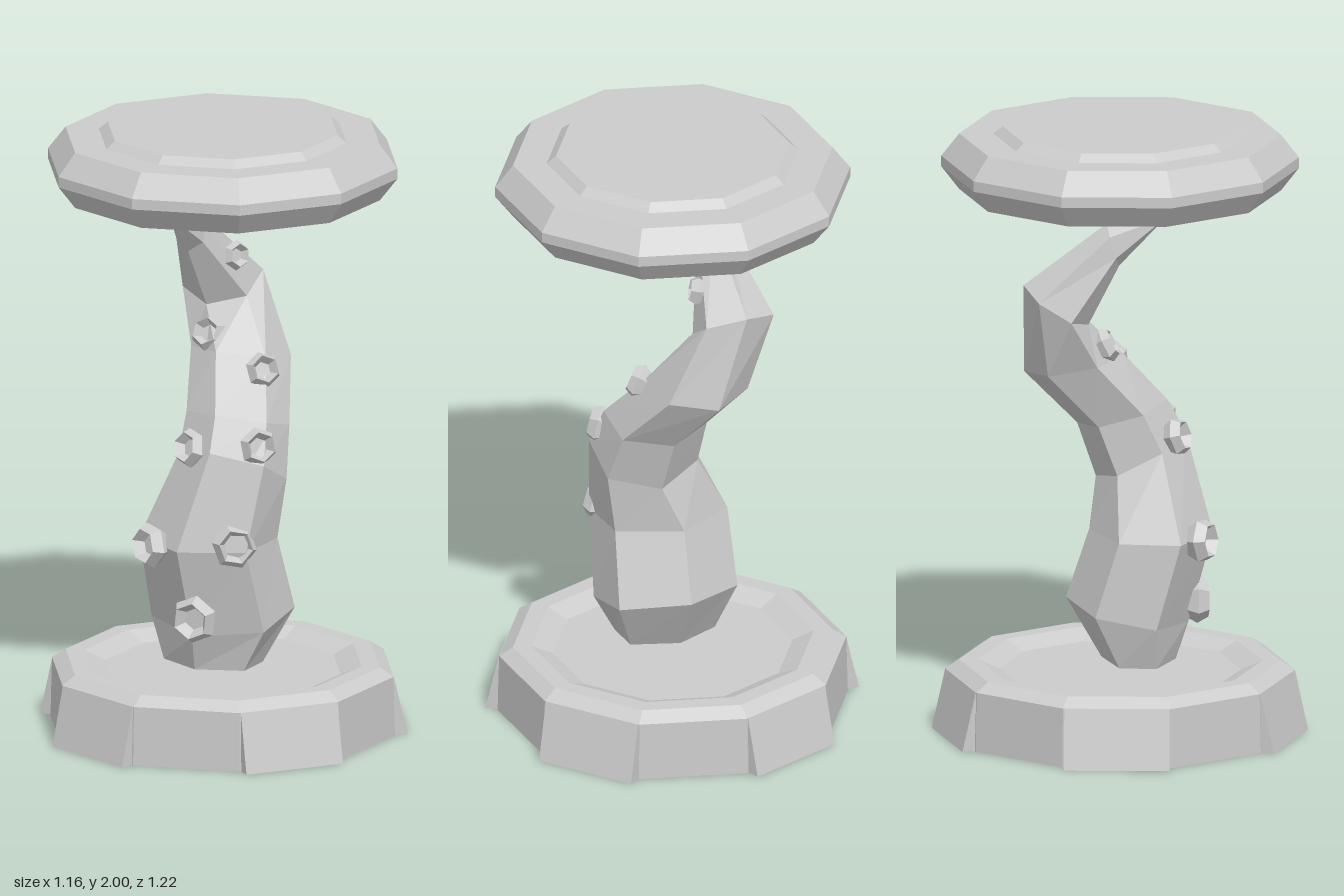
import * as THREE from 'three';

const material = new THREE.MeshStandardMaterial({ color: 0xcccccc, flatShading: true });

function addMesh(parent, name, geometry) {
  const mesh = new THREE.Mesh(geometry, material);
  mesh.name = name;
  parent.add(mesh);
  return mesh;
}

// Faceted turned part; profile runs from the bottom to the top
function turned(profile, sides) {
  return new THREE.LatheGeometry(profile.map(([r, y]) => new THREE.Vector2(r, y)), sides);
}

// Skin of six-sided rings, each given by its front and back point [z, y],
// centre x and half width
function limbGeometry(rings, tip) {
  const sides = 6, positions = [], index = [];
  const mid = ({ f, b, x }) => [x, (f[1] + b[1]) / 2, (f[0] + b[0]) / 2];
  for (const ring of rings) {
    const [cx, cy, cz] = mid(ring);
    for (let i = 0; i < sides; i++) {
      const a = (i / sides) * Math.PI * 2, c = Math.cos(a);
      positions.push(
        cx + (ring.w * Math.sin(a)) / Math.sin(Math.PI / 3),
        cy + (c * (ring.f[1] - ring.b[1])) / 2,
        cz + (c * (ring.f[0] - ring.b[0])) / 2
      );
    }
  }
  const last = (rings.length - 1) * sides, end = rings.length * sides;
  positions.push(...mid(rings[0]), ...tip);
  for (let i = 0; i < sides; i++) {
    const j = (i + 1) % sides;
    for (let r = 0; r < last; r += sides) {
      index.push(r + i, r + j, r + sides + j, r + i, r + sides + j, r + sides + i);
    }
    index.push(end, j, i, last + i, last + j, end + 1);
  }
  const geometry = new THREE.BufferGeometry();
  geometry.setAttribute('position', new THREE.Float32BufferAttribute(positions, 3));
  geometry.setIndex(index);
  geometry.computeVertexNormals();
  return geometry;
}

// Slab lying against one side of the base, its outer face leaning inwards
function plateGeometry() {
  const geometry = new THREE.BoxGeometry(0.34, 0.195, 0.1);
  geometry.translate(0, 0.0975, 0.534);
  const p = geometry.attributes.position;
  for (let i = 0; i < p.count; i++) {
    if (p.getY(i) > 0.1 && p.getZ(i) > 0.54) p.setZ(i, 0.539);
  }
  return geometry;
}

export function createModel() {
  const model = new THREE.Group();
  model.name = 'tentacleStand';

  // Ten-sided base with a shallow dish
  addMesh(model, 'base', turned([
    [0, 0], [0.57, 0], [0.565, 0.195], [0.52, 0.225], [0.46, 0.225], [0.39, 0.195], [0, 0.195]
  ], 10));

  // Plates on every other side
  const plates = new THREE.Group();
  plates.name = 'basePlates';
  model.add(plates);
  for (let i = 0; i < 5; i++) {
    addMesh(plates, 'basePlate', plateGeometry()).rotation.y = -Math.PI / 2 + (i * Math.PI * 2) / 5;
  }

  // Floating top disc with a raised centre
  addMesh(model, 'topDisc', turned([
    [0, 1.79], [0.52, 1.79], [0.578, 1.865], [0.578, 1.9], [0.52, 1.975],
    [0.41, 1.975], [0.38, 2], [0, 2]
  ], 10));

  // Bent, tapering tentacle
  addMesh(model, 'tentacle', limbGeometry([
    { f: [0.18, 0.23], b: [-0.06, 0.235], x: 0.0, w: 0.15 },
    { f: [0.22, 0.35], b: [-0.175, 0.43], x: 0.015, w: 0.21 },
    { f: [0.3, 0.65], b: [-0.1, 0.66], x: 0.005, w: 0.2 },
    { f: [0.21, 0.97], b: [-0.08, 0.82], x: 0.075, w: 0.16 },
    { f: [0.15, 1.08], b: [-0.14, 1.0], x: 0.06, w: 0.15 },
    { f: [0.01, 1.25], b: [-0.31, 1.19], x: -0.02, w: 0.14 },
    { f: [-0.1, 1.37], b: [-0.31, 1.5], x: -0.12, w: 0.12 },
    { f: [0, 1.57], b: [-0.04, 1.71], x: -0.13, w: 0.05 }
  ], [-0.11, 1.725, 0.15]));

  // Suckers: position, outward direction, radius
  const suckers = new THREE.Group();
  suckers.name = 'suckers';
  model.add(suckers);
  const placements = [
    [[0.04, 0.42, 0.24], [0.1, 0, 1], 0.08],
    [[-0.11, 0.65, 0.26], [-0.4, 0.1, 1], 0.075],
    [[0.16, 0.67, 0.2], [0.7, 0.15, 0.8], 0.075],
    [[-0.01, 0.97, 0.18], [-0.35, 0.3, 1], 0.065],
    [[0.2, 0.99, 0.12], [0.8, 0.2, 0.6], 0.065],
    [[0.13, 1.2, -0.03], [0.8, 0.4, 0.6], 0.06],
    [[-0.08, 1.29, -0.05], [0, 0.5, 1], 0.06],
    [[-0.03, 1.54, -0.13], [1, 0.2, 0.4], 0.05]
  ];
  const cup = turned([[0, -0.6], [0.6, -0.6], [1, 0.1], [0.75, 0.55], [0.45, 0.1], [0, 0.1]], 6);
  const up = new THREE.Vector3(0, 1, 0);
  for (const [position, direction, radius] of placements) {
    const sucker = addMesh(suckers, 'sucker', cup);
    sucker.position.set(...position);
    sucker.quaternion.setFromUnitVectors(up, new THREE.Vector3(...direction).normalize());
    sucker.scale.setScalar(radius);
  }
  return model;
}
